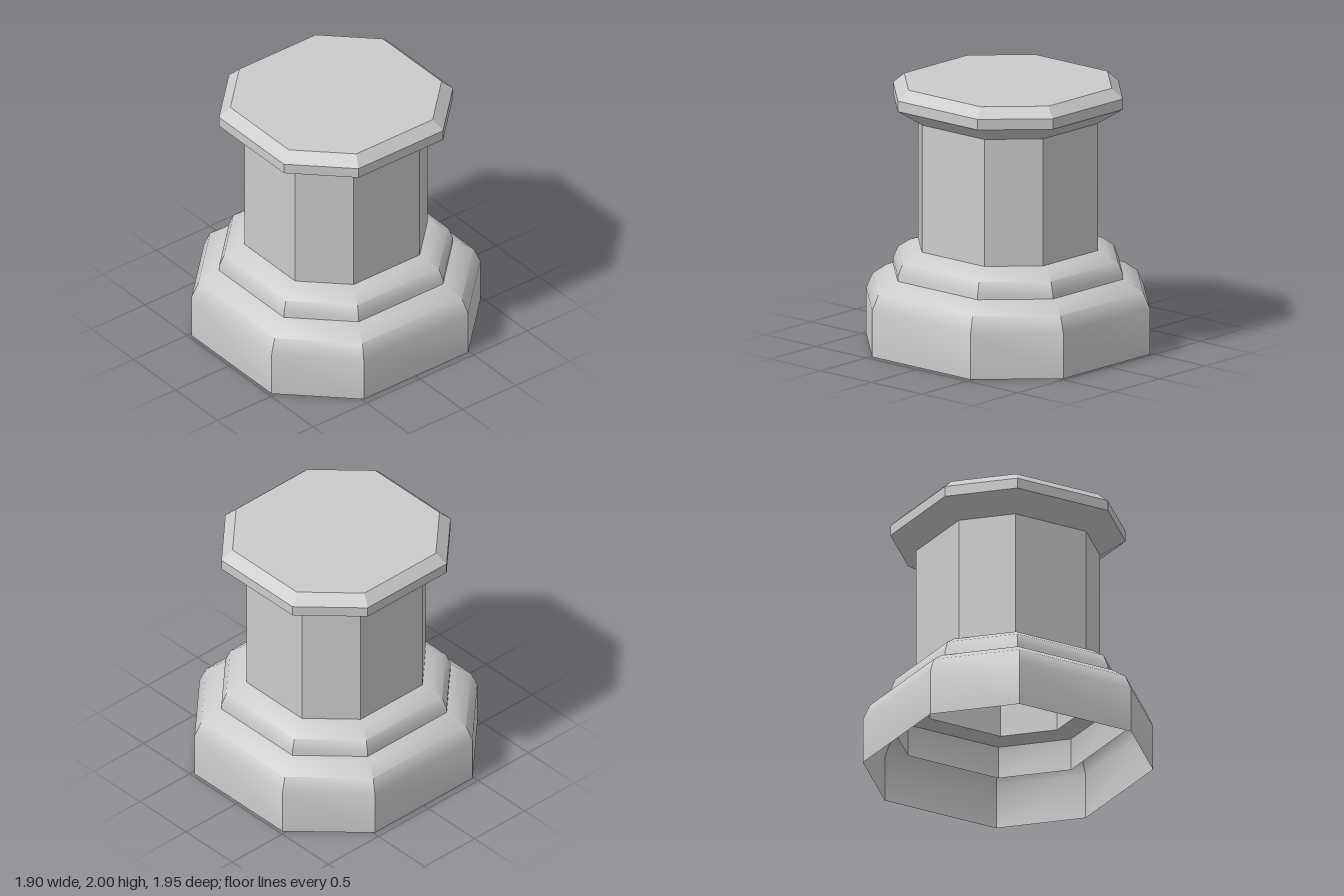
import * as THREE from 'three';
import { toCreasedNormals } from 'three/addons/utils/BufferGeometryUtils.js';

const DEPTH = 1.027; // slightly deeper than wide

// Eight-sided shell swept from a [halfWidth, y] profile; broad faces are as long as half the width.
function octagonShell(name, profile, creaseDegrees, material) {
  const geometry = new THREE.LatheGeometry(
    profile.map(([r, y]) => new THREE.Vector2(r, y)), 8, Math.PI / 8);
  const pos = geometry.attributes.position;
  const snap = (v, r) => Math.sign(v) * r * (Math.abs(v) > r * 0.6 ? 1 : 0.5);
  for (let i = 0; i < pos.count; i++) {
    const r = profile[i % profile.length][0];
    pos.setX(i, snap(pos.getX(i), r));
    pos.setZ(i, snap(pos.getZ(i), r) * DEPTH);
  }
  const mesh = new THREE.Mesh(
    toCreasedNormals(geometry, THREE.MathUtils.degToRad(creaseDegrees)), material);
  mesh.name = name;
  return mesh;
}

export function createModel() {
  const group = new THREE.Group();
  group.name = 'pedestal';
  const material = new THREE.MeshStandardMaterial({ color: 0xcccccc, side: THREE.DoubleSide });

  // Wide plinth, open underneath, with a rounded shoulder
  group.add(octagonShell('plinth',
    [[0.95, 0], [0.95, 0.35], [0.905, 0.465], [0.81, 0.54], [0.77, 0.555]], 40, material));

  // Second tier, its wall continuing down inside the plinth
  group.add(octagonShell('upperTier',
    [[0.77, 0.31], [0.77, 0.59], [0.738, 0.68], [0.66, 0.74], [0.602, 0.76]], 40, material));

  // Ledge under the second tier, seen from inside the hollow
  group.add(octagonShell('innerLedge', [[0.602, 0.56], [0.77, 0.56]], 20, material));

  // Straight shaft
  group.add(octagonShell('shaft', [[0.602, 0.56], [0.602, 1.73]], 20, material));

  // Flared cap with a bevelled top edge
  group.add(octagonShell('cap',
    [[0.602, 1.725], [0.77, 1.845], [0.77, 1.925], [0.695, 2], [0, 2]], 20, material));

  return group;
}
